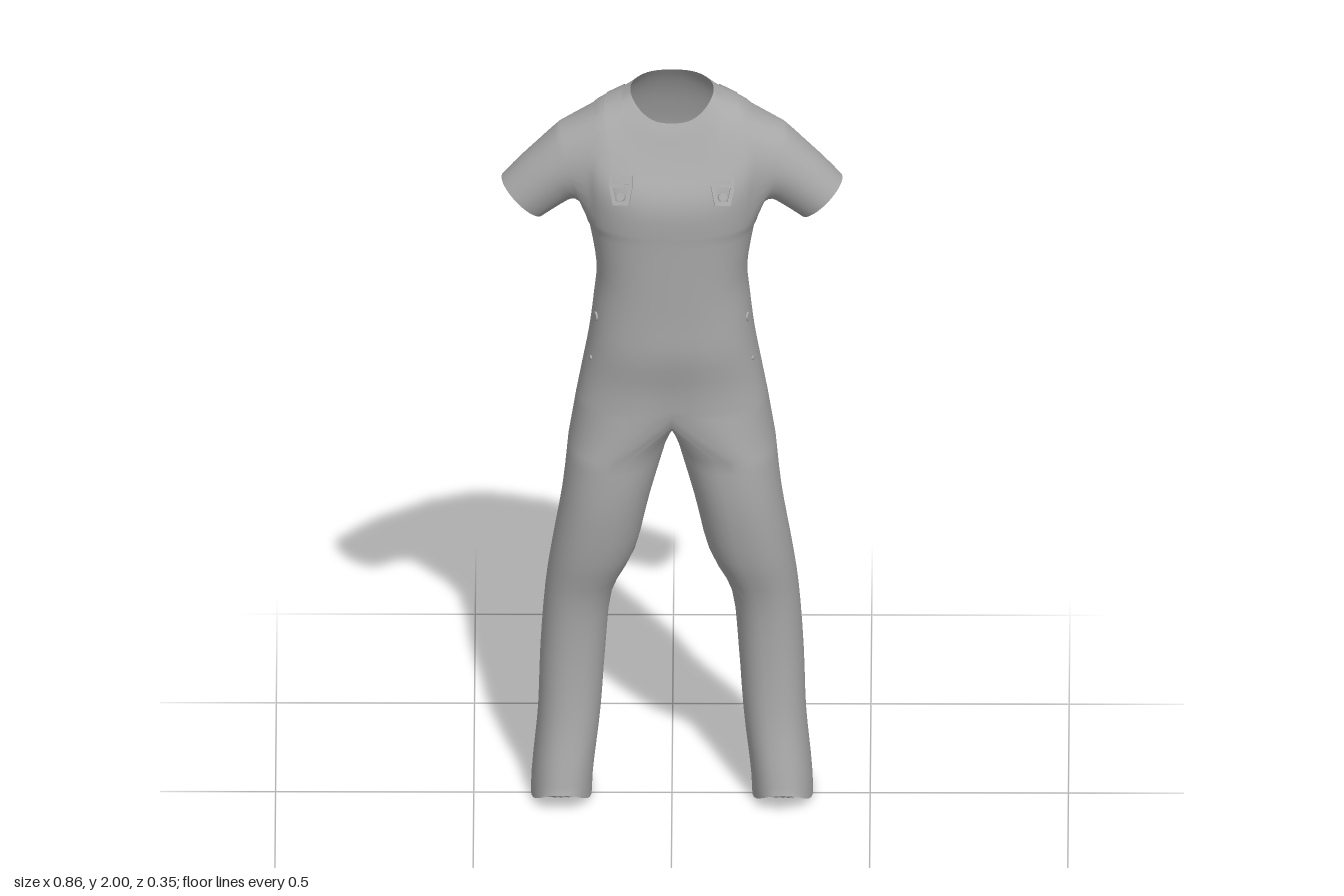
import * as THREE from 'three';
import { mergeVertices } from 'three/addons/utils/BufferGeometryUtils.js';

const cloth = new THREE.MeshStandardMaterial({ color: 0xa8a8a8, side: THREE.DoubleSide });
cloth.name = 'grey cloth';

const V = (x, y, z) => new THREE.Vector3(x, y, z);
const pow = (v, p) => Math.sign(v) * Math.abs(v) ** p;

// Smoothly inserts n - 1 rows between each pair of section rows
function refine(rows, n) {
  const out = [];
  const at = (i) => rows[Math.max(0, Math.min(rows.length - 1, i))];
  for (let i = 0; i < rows.length - 1; i++) {
    for (let k = 0; k < n; k++) {
      const t = k / n;
      out.push(rows[i].map((b, c) => {
        const a = at(i - 1)[c], d = at(i + 1)[c], e = at(i + 2)[c];
        return b + 0.5 * t * (d - a + t * (2 * a - 5 * b + 4 * d - e + t * (3 * (b - d) + e - a)));
      }));
    }
  }
  out.push(rows[rows.length - 1]);
  return out;
}

// Joins rings of points with quads; skip(j, i) leaves holes
function loft(soup, rings, flip, skip = () => false) {
  for (let j = 0; j < rings.length - 1; j++) {
    const n = rings[j].length;
    for (let i = 0; i < n; i++) {
      if (skip(j, i)) continue;
      const k = (i + 1) % n;
      const a = rings[j][i], b = rings[j][k], c = rings[j + 1][k], d = rings[j + 1][i];
      for (const p of flip ? [a, c, b, a, d, c] : [a, b, c, a, c, d]) soup.push(p.x, p.y, p.z);
    }
  }
}

function smoothGeometry(soup) {
  let g = new THREE.BufferGeometry();
  g.setAttribute('position', new THREE.Float32BufferAttribute(soup, 3));
  g = mergeVertices(g, 1e-4);
  g.computeVertexNormals();
  return g;
}

// Torso sections: side height, half width, front z, back z, front drop, back rise, centre cleft
const TORSO = [
  [1.12, 0.243, 0.145, -0.170, 0, 0, 0.10],
  [1.20, 0.228, 0.147, -0.176, 0, 0, 0.04],
  [1.30, 0.210, 0.163, -0.162, 0, 0, 0],
  [1.40, 0.198, 0.165, -0.147, 0, 0, 0],
  [1.50, 0.190, 0.168, -0.150, 0, 0, 0],
  [1.62, 0.208, 0.172, -0.164, 0, 0, 0],
  [1.66, 0.222, 0.174, -0.168, 0.01, 0, 0],
  [1.78, 0.238, 0.175, -0.171, 0.07, -0.04, 0],
  [1.86, 0.235, 0.163, -0.165, 0.10, -0.06, 0],
  [1.925, 0.205, 0.135, -0.150, 0.115, -0.07, 0],
  [1.952, 0.165, 0.108, -0.130, 0.09, -0.04, 0],
  [1.968, 0.130, 0.090, -0.105, 0.068, -0.005, 0],
  [1.985, 0.105, 0.075, -0.080, 0.06, 0.015, 0],
];
// Leg sections: height, inner x, outer x, front z, back z
const LEG = [
  [1.00, 0.015, 0.262, 0.143, -0.162],
  [0.86, 0.055, 0.277, 0.140, -0.135],
  [0.70, 0.092, 0.303, 0.115, -0.135],
  [0.57, 0.150, 0.320, 0.080, -0.140],
  [0.40, 0.168, 0.332, 0.070, -0.145],
  [0.23, 0.180, 0.338, 0.080, -0.140],
  [0.10, 0.195, 0.350, 0.105, -0.150],
  [0.025, 0.202, 0.356, 0.120, -0.160],
];
// Sleeve sections: centre x, centre y, up x, up y, half height, half depth
const SLEEVE = [
  [0.255, 1.780, 0.25, 0.97, 0.110, 0.097],
  [0.290, 1.762, 0.49, 0.87, 0.087, 0.090],
  [0.335, 1.725, 0.62, 0.78, 0.079, 0.082],
  [0.378, 1.685, 0.72, 0.69, 0.073, 0.075],
];

function bodyGeometry() {
  const soup = [];
  const N = 48, STEP = 3, low = 6 * STEP, high = 9 * STEP, side = 12, half = 4;
  const torso = refine(TORSO, STEP).map(([y, w, zf, zb, drop, rise, cleft]) =>
    Array.from({ length: N }, (_, i) => {
      const a = (i / N) * Math.PI * 2, c = Math.cos(a);
      const x = w * pow(Math.sin(a), 0.75);
      const z = Math.abs(pow(c, 0.75)) * (c > 0 ? zf : zb) * (1 - cleft * Math.exp(-((x / 0.05) ** 2)));
      return V(x, y + c * c * (c > 0 ? -drop : rise), z);
    }));
  const inArm = (i) => (i >= side - half && i < side + half) || (i >= 3 * side - half && i < 3 * side + half);
  loft(soup, torso, false, (j, i) => j >= low && j < high && inArm(i));

  // Armhole edge: up the front, over the top, down the back, along the bottom
  const hole = [];
  for (let j = low; j < high; j++) hole.push(torso[j][side - half]);
  for (let i = side - half; i < side + half; i++) hole.push(torso[high][i]);
  for (let j = high; j > low; j--) hole.push(torso[j][side + half]);
  for (let i = side + half; i > side - half; i--) hole.push(torso[low][i]);
  const angles = hole.map((p) => Math.atan2(p.z / 0.1, (p.y - 1.785) / 0.13));
  const sleeve = [hole, ...refine(SLEEVE, 3).map(([x, y, ux, uy, r, rz]) => angles.map((a) =>
    V(x + ux * r * Math.cos(a), y + uy * r * Math.cos(a), rz * Math.sin(a) - 0.004)))];

  // Leg top follows the hip line outside and a saddle between the legs inside
  const M = 16, hip = torso[0].slice(0, N / 2 + 1);
  const saddle = Array.from({ length: M - 1 }, (_, k) => {
    const s = (k + 1) / M;
    return V(0, 1.12 - 0.085 * Math.sin(Math.PI * s) ** 0.6, THREE.MathUtils.lerp(hip[N / 2].z, hip[0].z, s));
  });
  const legRows = refine(LEG, 3);
  const leg = [[...hip, ...saddle], ...legRows.map(([y, xi, xo, zf, zb], j) =>
    Array.from({ length: N / 2 + M }, (_, i) => {
      const a = i <= N / 2 ? (Math.PI * i) / (N / 2) : Math.PI * (1 + (i - N / 2) / M);
      const hem = j === legRows.length - 1 ? 0.025 * Math.cos(2 * a) : 0;
      return V((xi + xo) / 2 + ((xo - xi) / 2) * pow(Math.sin(a), 0.88), y + hem,
        (zf + zb) / 2 + ((zf - zb) / 2) * pow(Math.cos(a), 0.88));
    }))];

  for (const s of [1, -1]) {
    const mirror = (rings) => rings.map((r) => r.map((p) => V(p.x * s, p.y, p.z)));
    loft(soup, mirror(sleeve), s > 0);
    loft(soup, mirror(leg), s > 0);
  }
  return smoothGeometry(soup);
}

export function createModel() {
  const model = new THREE.Group();
  model.name = 'overallsAndShirt';
  const add = (parent, geometry, name) => {
    const m = new THREE.Mesh(geometry, cloth);
    m.name = name;
    parent.add(m);
    return m;
  };
  const body = add(model, bodyGeometry(), 'garmentBody');

  // Finds the cloth surface from a point inside the garment
  const ray = new THREE.Raycaster();
  const surface = (from, dir, lift) => {
    ray.set(from, dir.normalize());
    const hit = ray.intersectObject(body)[0];
    return (hit ? hit.point : from).clone().addScaledVector(dir, lift);
  };

  for (const s of [1, -1]) {
    const label = s > 0 ? 'left' : 'right';

    // Strap running over the shoulder and converging on the back
    const path = refine([[0, 0.128], [0.7, 0.135], [1.57, 0.148], [2.5, 0.12], [3.2, 0.08], [3.85, 0.035]], 6);
    const edges = [-0.022, 0, 0.022].map((o) => path.map(([t, x]) =>
      surface(V(s * (x + o), 1.75, 0), V(0, Math.sin(t), Math.cos(t)), 0.003)));
    const soup = [];
    loft(soup, edges, s < 0, (j, i) => i === path.length - 1);
    add(model, smoothGeometry(soup), label + 'Strap');

    // Buckle: open frame, crossbar and button
    const buckle = new THREE.Group();
    buckle.name = label + 'Buckle';
    buckle.position.copy(surface(V(s * 0.128, 1.775, 0), V(0, 0, 1), 0.002));
    buckle.rotation.set(-0.45, s * 0.15, 0);
    const frame = new THREE.Shape([[-0.03, 0.038], [-0.03, 0.01], [-0.02, -0.038], [0.02, -0.038], [0.03, 0.01], [0.03, 0.038]]
      .map(([x, y]) => new THREE.Vector2(x, y)));
    frame.holes.push(new THREE.Path([[-0.021, 0.028], [0.021, 0.028], [0.021, 0.012], [0.012, -0.028], [-0.012, -0.028], [-0.021, 0.012]]
      .map(([x, y]) => new THREE.Vector2(x, y))));
    add(buckle, new THREE.ExtrudeGeometry(frame, { depth: 0.006, bevelEnabled: false }), 'buckleFrame');
    add(buckle, new THREE.BoxGeometry(0.05, 0.008, 0.006), 'buckleBar').position.set(0, 0.012, 0.004);
    add(buckle, new THREE.CylinderGeometry(0.011, 0.011, 0.008, 12).rotateX(Math.PI / 2), 'buckleButton').position.set(0, -0.016, 0.003);
    model.add(buckle);

    // Hip buttons
    for (const [y, r] of [[1.38, 0.012], [1.265, 0.006]]) {
      const dir = V(s, 0, 0.25);
      const button = add(model, new THREE.CylinderGeometry(r, r, 0.006, 12).rotateX(Math.PI / 2), label + 'HipButton');
      button.position.copy(surface(V(0, y, 0.025), dir, 0.001));
      button.rotation.y = s * 1.25;
    }
  }
  return model;
}
